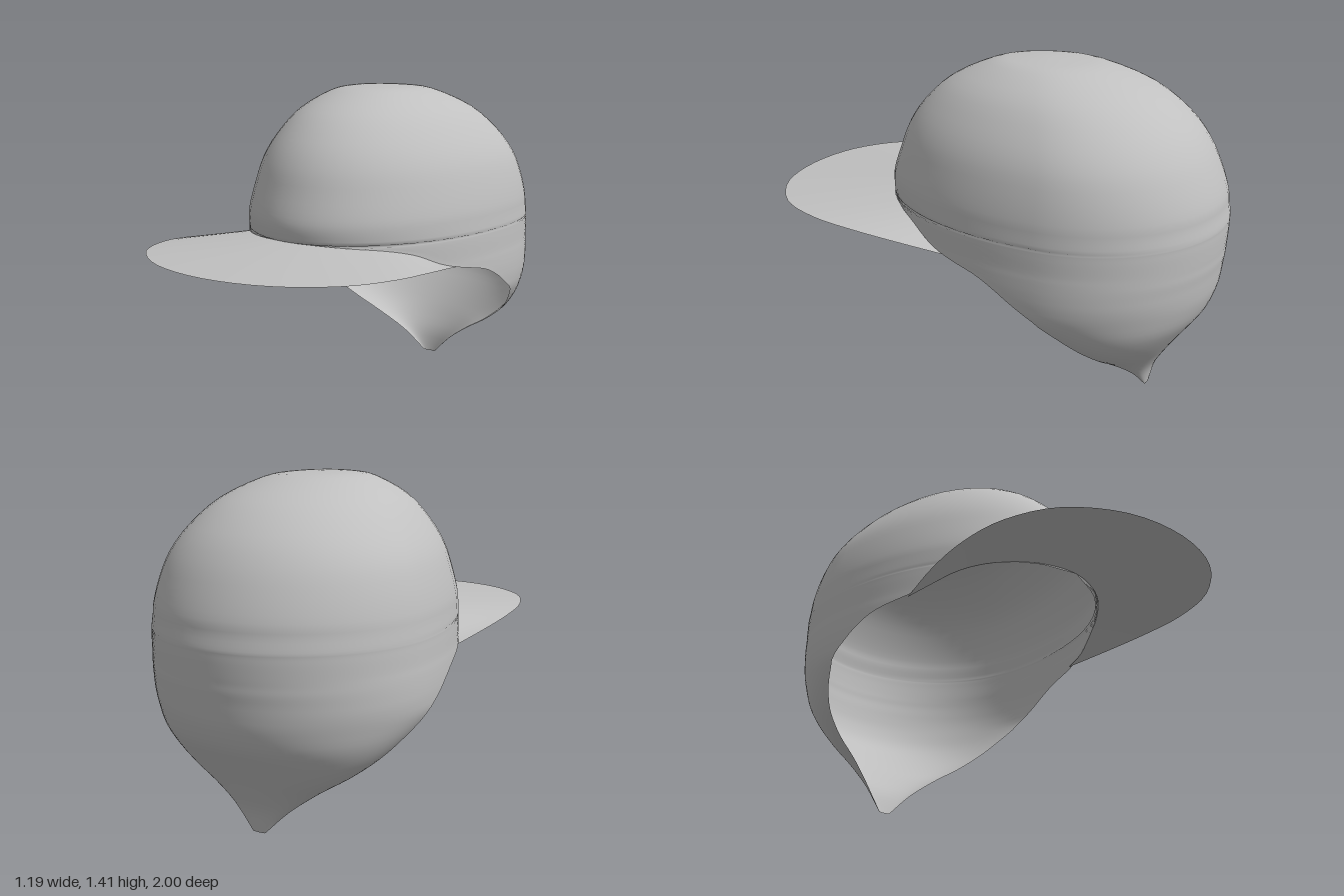
import * as THREE from 'three';
import { mergeVertices } from 'three/addons/utils/BufferGeometryUtils.js';

const fabric = new THREE.MeshStandardMaterial({ color: 0xc0c0c0, side: THREE.DoubleSide });
fabric.name = 'grey fabric';

// Smooth skin over a grid of points, welded so seams shade smoothly
function skin(name, rows) {
  const n = rows[0].length, index = [];
  for (let i = 0; i < rows.length - 1; i++) {
    for (let j = 0; j < n - 1; j++) {
      const a = i * n + j, c = a + n;
      index.push(a, a + 1, c, a + 1, c + 1, c);
    }
  }
  let g = new THREE.BufferGeometry();
  g.setAttribute('position', new THREE.Float32BufferAttribute(rows.flat(2), 3));
  g.setIndex(index);
  g = mergeVertices(g, 1e-4);
  g.computeVertexNormals();
  const mesh = new THREE.Mesh(g, fabric);
  mesh.name = name;
  return mesh;
}

const spline = (pts) =>
  new THREE.CatmullRomCurve3(pts.map((p) => new THREE.Vector3(...p)), false, 'catmullrom');

// Crown: level egg-shaped sections, cut open along the rim
function crown() {
  // back z, front z, half-width
  const size = spline([
    [-0.2, -0.2, 0], [-0.34, -0.07, 0.12], [-0.48, 0.04, 0.22], [-0.68, 0.21, 0.36],
    [-0.82, 0.33, 0.46], [-0.9, 0.4, 0.525], [-0.95, 0.44, 0.56], [-0.983, 0.472, 0.58],
    [-0.99, 0.48, 0.585], [-1, 0.475, 0.59], [-1, 0.475, 0.59], [-1, 0.475, 0.591],
    [-0.998, 0.475, 0.592], [-0.996, 0.475, 0.594], [-0.995, 0.475, 0.595], [-0.99, 0.475, 0.595],
    [-0.985, 0.475, 0.592], [-0.975, 0.475, 0.58], [-0.945, 0.475, 0.53], [-0.89, 0.475, 0.46],
    [-0.835, 0.475, 0.36], [-0.79, 0.475, 0.25], [-0.74, 0.475, 0.13], [-0.715, 0.475, 0.03]
  ]);
  // height, z of the widest point, z where the rim cuts the section
  const place = spline([
    [1.41, -0.2, -0.2], [1.403, -0.22, -0.07], [1.383, -0.25, 0.04], [1.305, -0.31, 0.21],
    [1.2, -0.36, 0.33], [1.1, -0.39, 0.4], [1.0, -0.4, 0.44], [0.91, -0.4, 0.472],
    [0.86, -0.4, 0.48], [0.81, -0.4, 0.475], [0.79, -0.4, 0.33], [0.76, -0.4, 0.21],
    [0.71, -0.4, 0.1], [0.68, -0.4, 0], [0.65, -0.4, -0.14], [0.61, -0.4, -0.23],
    [0.56, -0.4, -0.31], [0.5, -0.4, -0.4], [0.42, -0.48, -0.48], [0.34, -0.55, -0.55],
    [0.26, -0.6, -0.6], [0.19, -0.635, -0.635], [0.1, -0.68, -0.68], [0, -0.71, -0.71]
  ]);
  const rows = [], steps = 23 * 3, cols = 56;
  for (let i = 0; i <= steps; i++) {
    const s = size.getPoint(i / steps), p = place.getPoint(i / steps);
    const [y, mid] = [p.x, p.y];
    const cut = THREE.MathUtils.clamp((p.z - mid) / Math.max(s.y - mid, 1e-6), 0, 1);
    const end = y >= 0.81 ? Math.PI : Math.acos(-cut);
    const row = [];
    for (let j = 0; j <= cols; j++) {
      const t = end * (2 * j / cols - 1), c = Math.cos(t);
      row.push([s.z * Math.sin(t), y, mid - c * (c > 0 ? mid - s.x : s.y - mid)]);
    }
    rows.push(row);
  }
  return skin('crown', rows);
}

// Visor: thin sheet from the front rim out to a rounded edge
function visor() {
  const mirror = (half) =>
    spline([...half, ...half.slice(0, -1).reverse().map(([x, y, z]) => [-x, y, z])]);
  const inner = mirror([
    [0.515, 0.68, 0], [0.485, 0.71, 0.1], [0.43, 0.757, 0.2], [0.355, 0.785, 0.3],
    [0.24, 0.8, 0.4], [0.12, 0.808, 0.455], [0, 0.81, 0.475]
  ]);
  const outer = mirror([
    [0.515, 0.68, 0], [0.565, 0.72, 0.2], [0.59, 0.75, 0.4], [0.575, 0.768, 0.6],
    [0.48, 0.777, 0.8], [0.27, 0.78, 0.95], [0, 0.78, 1]
  ]);
  const rows = [];
  for (let k = 0; k <= 4; k++) {
    const row = [];
    for (let j = 0; j <= 48; j++) {
      row.push(inner.getPoint(j / 48).lerp(outer.getPoint(j / 48), k / 4).toArray());
    }
    rows.push(row);
  }
  return skin('visor', rows);
}

export function createModel() {
  const cap = new THREE.Group();
  cap.name = 'cap';
  cap.add(crown(), visor());
  return cap;
}
